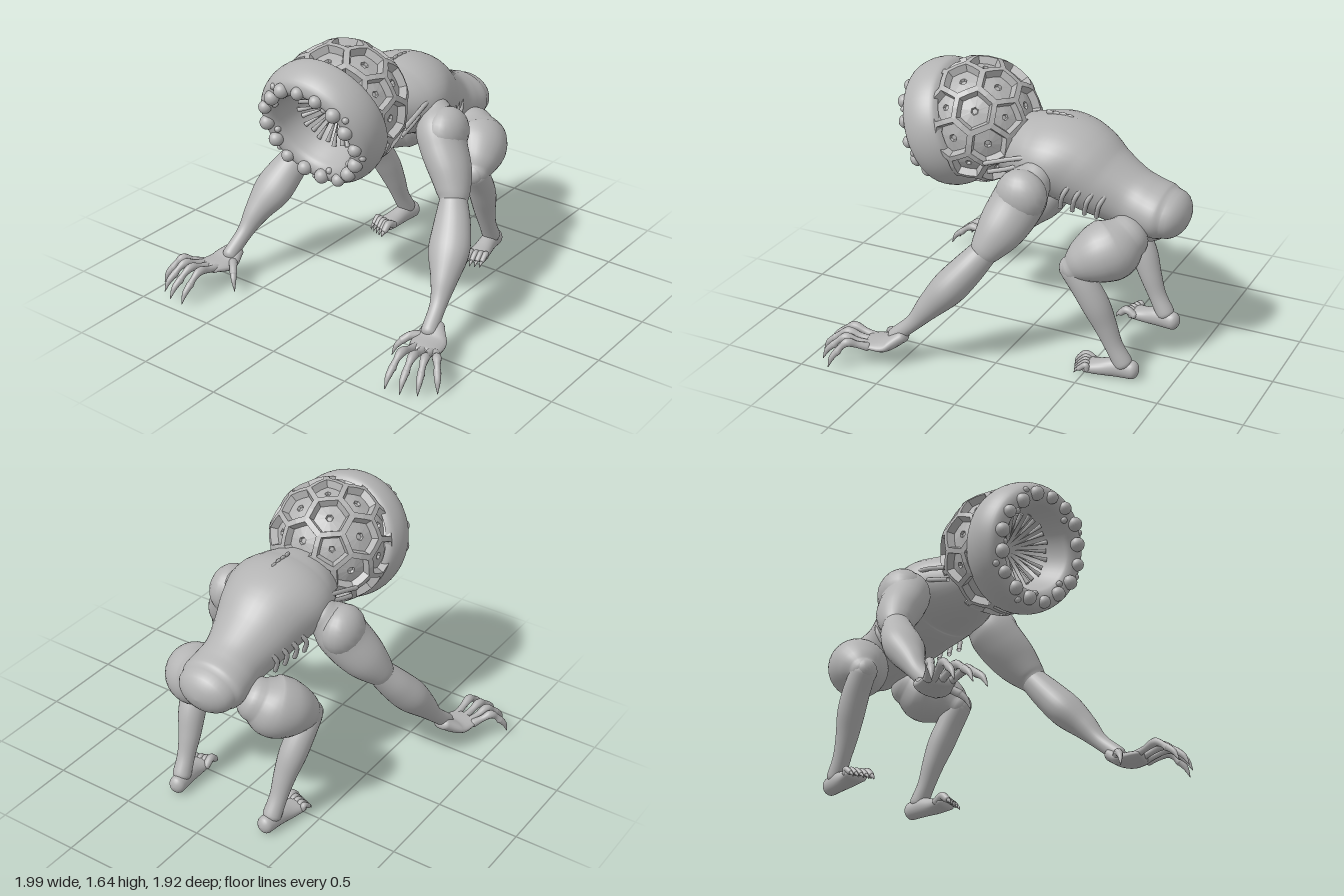
import * as THREE from 'three';

const skin = new THREE.MeshStandardMaterial({ color: 0xb4b4b4, side: THREE.DoubleSide });
skin.name = 'grey skin';

function add(parent, name, geometry) {
  const mesh = new THREE.Mesh(geometry, skin);
  mesh.name = name;
  parent.add(mesh);
  return mesh;
}

// Smooth limb through [x, y, z, halfWidth, halfDepth] sections, with rounded ends
function loft(points, sides = 20, steps = 6) {
  const spline = list => new THREE.CatmullRomCurve3(list, false, 'catmullrom', 0.5);
  const path = spline(points.map(p => new THREE.Vector3(p[0], p[1], p[2])));
  const size = spline(points.map(p => new THREE.Vector3(p[3], p[4] ?? p[3], 0)));
  const n = (points.length - 1) * steps, cap = 6, rings = [];
  for (let k = 0; k < cap; k++) rings.push([0, -Math.cos(k / cap * Math.PI / 2), Math.sin(k / cap * Math.PI / 2)]);
  for (let i = 0; i <= n; i++) rings.push([i / n, 0, 1]);
  for (let k = 1; k <= cap; k++) rings.push([1, Math.sin(k / cap * Math.PI / 2), Math.cos(k / cap * Math.PI / 2)]);
  const pos = [], index = [];
  rings.forEach(([t, push, scale], i) => {
    const tangent = path.getTangent(t), r = size.getPoint(t);
    const side = new THREE.Vector3(1, 0, 0).addScaledVector(tangent, -tangent.x).normalize();
    const other = new THREE.Vector3().crossVectors(tangent, side);
    const centre = path.getPoint(t).addScaledVector(tangent, push * Math.min(r.x, r.y) * 0.8);
    for (let j = 0; j < sides; j++) {
      const a = j / sides * Math.PI * 2, s = Math.max(scale, 0.001);
      const p = centre.clone().addScaledVector(side, Math.cos(a) * r.x * s).addScaledVector(other, Math.sin(a) * r.y * s);
      pos.push(p.x, p.y, p.z);
      if (i < rings.length - 1) {
        const A = i * sides + j, B = i * sides + (j + 1) % sides;
        index.push(A, B, A + sides, B, B + sides, A + sides);
      }
    }
  });
  const g = new THREE.BufferGeometry();
  g.setAttribute('position', new THREE.Float32BufferAttribute(pos, 3));
  g.setIndex(index);
  g.computeVertexNormals();
  return g;
}

function ball(parent, name, x, y, z, rx, ry = rx, rz = rx) {
  const m = add(parent, name, new THREE.SphereGeometry(1, 20, 14));
  m.position.set(x, y, z);
  m.scale.set(rx, ry, rz);
  return m;
}

function cord(parent, name, points, radius) {
  const curve = new THREE.CatmullRomCurve3(points.map(p => new THREE.Vector3(...p)));
  return add(parent, name, new THREE.TubeGeometry(curve, 12, radius, 8));
}

// Dome of five- and six-sided cells with raised rims and sunken panels
function cellDome(radius, limit) {
  const ico = new THREE.IcosahedronGeometry(1, 1).rotateX(-1.476);
  const p = ico.attributes.position, cells = new Map();
  for (let i = 0; i < p.count; i += 3) {
    const tri = [0, 1, 2].map(k => new THREE.Vector3().fromBufferAttribute(p, i + k));
    const mid = tri[0].clone().add(tri[1]).add(tri[2]).normalize();
    for (const v of tri) {
      const key = v.toArray().map(c => Math.round(c * 100)).join();
      if (!cells.has(key)) cells.set(key, { v, corners: [] });
      cells.get(key).corners.push(mid);
    }
  }
  const levels = [[1, 1], [0.85, 1], [0.78, 0.88], [0.2, 0.88], [0.15, 0.84], [0, 0.84]];
  const pos = [];
  for (const { v, corners } of cells.values()) {
    if (v.z > limit) continue;
    const u = corners[0].clone().addScaledVector(v, -corners[0].dot(v)).normalize();
    const w = new THREE.Vector3().crossVectors(v, u);
    const angle = c => Math.atan2(c.dot(w), c.dot(u));
    corners.sort((a, b) => angle(a) - angle(b));
    // Halve each edge so the rim follows the sphere
    const edge = corners.flatMap((c, j) => [c, c.clone().add(corners[(j + 1) % corners.length]).normalize()]);
    const rings = levels.map(([f, r]) => edge.map(c => v.clone().lerp(c, f).normalize().multiplyScalar(r * radius)));
    for (let k = 0; k < rings.length - 1; k++) edge.forEach((_, j) => {
      const j2 = (j + 1) % edge.length, o = rings[k], q = rings[k + 1];
      for (const t of [o[j], o[j2], q[j], o[j2], q[j2], q[j]]) pos.push(t.x, t.y, t.z);
    });
  }
  const g = new THREE.BufferGeometry();
  g.setAttribute('position', new THREE.Float32BufferAttribute(pos, 3));
  g.computeVertexNormals();
  return g;
}

function makeHead() {
  const head = new THREE.Group();
  head.name = 'head';
  head.position.set(0, 1.275, 0.345);
  head.rotation.x = 0.33;
  add(head, 'cellDome', cellDome(0.367, 0.52));

  const mouth = new THREE.Group();
  mouth.name = 'mouth';
  mouth.position.set(0, 0.018, 0);
  head.add(mouth);
  // Fleshy lip that rolls inward to the throat
  const profile = [[0.325, 0.06], [0.358, 0.085], [0.376, 0.15], [0.374, 0.22], [0.348, 0.285], [0.295, 0.308], [0.25, 0.28],
    [0.235, 0.23], [0.22, 0.16], [0.2, 0.06], [0.13, -0.04], [0.001, -0.08]].map(p => new THREE.Vector2(...p));
  add(mouth, 'lip', new THREE.LatheGeometry(new THREE.SplineCurve(profile).getPoints(44), 56).rotateX(Math.PI / 2));

  for (let i = 0; i < 16; i++) {
    const a = i / 16 * Math.PI * 2 + Math.PI / 2;
    const r = i % 3 ? 0.042 : 0.037, rho = 0.3 + 0.008 * Math.sin(i * 2.3);
    ball(mouth, 'lipBump', Math.cos(a) * rho, Math.sin(a) * rho, 0.308, r);
    const b = a + Math.PI / 16, q = i % 2 ? 0.335 : 0.26;
    if (i % 3) ball(mouth, 'smallLipBump', Math.cos(b) * q, Math.sin(b) * q, 0.29, 0.019);
  }
  // Long teeth pointing at the throat
  for (let i = 0; i < 24; i++) {
    const tooth = new THREE.ConeGeometry(0.014, i % 2 ? 0.2 : 0.16, 8).rotateZ(Math.PI / 2).rotateY(-0.6);
    tooth.translate(i % 2 ? 0.117 : 0.135, 0, i % 2 ? 0.085 : 0.11);
    add(mouth, 'tooth', tooth.rotateZ(i / 24 * Math.PI * 2));
  }
  return head;
}

function makeTorso() {
  const torso = new THREE.Group();
  torso.name = 'torso';
  add(torso, 'body', loft([
    [0, 1.17, 0.18, 0.17, 0.15], [0, 1.165, 0.04, 0.24, 0.195], [0, 1.165, -0.08, 0.3, 0.215],
    [0, 1.16, -0.2, 0.315, 0.235], [0, 1.115, -0.32, 0.28, 0.24], [0, 1.045, -0.45, 0.235, 0.21],
    [0, 0.98, -0.6, 0.19, 0.18], [0, 0.945, -0.71, 0.195, 0.165], [0, 0.925, -0.8, 0.2, 0.155],
    [0, 0.918, -0.85, 0.18, 0.138]], 36));
  // Knobs along the spine
  for (let i = 0; i < 10; i++) {
    const z = -0.1 - i * 0.042, d = Math.max(0, -0.2 - z);
    ball(torso, 'spineKnob', 0, 1.393 - 0.2 * d - 1.4 * d * d, z, 0.009, 0.014, 0.024);
  }
  for (const m of [1, -1]) {
    // Ribs down the flank
    for (let i = 0; i < 4; i++) {
      const z = -0.3 - i * 0.065, w = 0.28 - i * 0.02, y = 1.03 - i * 0.015;
      cord(torso, 'rib', [[m * (w - 0.025), y + 0.06, z - 0.04], [m * (w - 0.005), y, z - 0.01],
        [m * (w - 0.04), y - 0.09, z + 0.02]], 0.014);
    }
    // Neck cords reaching the dome
    cord(torso, 'neckCord', [[m * 0.27, 1.22, -0.1], [m * 0.285, 1.19, 0.02], [m * 0.29, 1.14, 0.17]], 0.014);
    cord(torso, 'neckCord', [[m * 0.25, 1.16, -0.06], [m * 0.26, 1.12, 0.04], [m * 0.26, 1.08, 0.16]], 0.014);
  }
  return torso;
}

function makeArm(m) {
  const arm = new THREE.Group();
  arm.name = m > 0 ? 'leftArm' : 'rightArm';
  const limb = (name, pts, sides) => add(arm, name, loft(pts.map(([x, ...r]) => [m * x, ...r]), sides));
  limb('upperArm', [[0.27, 1.12, -0.15, 0.1], [0.335, 1.05, -0.11, 0.135, 0.145], [0.4, 0.95, -0.07, 0.13, 0.15],
    [0.475, 0.85, -0.025, 0.118, 0.135], [0.53, 0.76, 0.025, 0.095, 0.1], [0.55, 0.71, 0.055, 0.075, 0.075]], 28);
  limb('forearm', [[0.545, 0.725, 0.045, 0.08, 0.08], [0.595, 0.615, 0.13, 0.108, 0.095], [0.64, 0.5, 0.225, 0.12, 0.1],
    [0.68, 0.385, 0.325, 0.078, 0.075], [0.705, 0.275, 0.415, 0.048], [0.725, 0.17, 0.53, 0.045]], 28);
  ball(arm, 'deltoid', m * 0.385, 1.04, -0.11, 0.12, 0.15, 0.15);
  limb('palm', [[0.725, 0.18, 0.48, 0.062, 0.04], [0.75, 0.13, 0.56, 0.1, 0.04], [0.785, 0.13, 0.66, 0.09, 0.028]]);
  // Arched fingers: knuckle x, tip x, tip z
  [[0.85, 0.99, 0.825], [0.82, 0.915, 0.905], [0.775, 0.83, 0.95], [0.725, 0.735, 0.955]].forEach(([bx, tx, tz]) => {
    const at = (f, y, r) => [bx + (tx - bx) * f, y, 0.645 + (tz - 0.645) * f, r];
    limb('finger', [at(0, 0.13, 0.026), at(0.25, 0.15, 0.02), at(0.48, 0.17, 0.026), at(0.65, 0.145, 0.018), at(0.76, 0.115, 0.022)], 10);
    limb('claw', [at(0.75, 0.12, 0.021), at(0.9, 0.08, 0.016), at(1, 0.022, 0.002)], 10);
  });
  limb('thumb', [[0.7, 0.13, 0.54, 0.034], [0.65, 0.145, 0.59, 0.024], [0.615, 0.12, 0.63, 0.022]], 10);
  limb('thumbClaw', [[0.615, 0.12, 0.63, 0.02], [0.592, 0.085, 0.655, 0.014], [0.575, 0.03, 0.67, 0.002]], 10);
  return arm;
}

function makeLeg(m) {
  const leg = new THREE.Group();
  leg.name = m > 0 ? 'leftLeg' : 'rightLeg';
  const limb = (name, pts, sides) => add(leg, name, loft(pts.map(([x, ...r]) => [m * x, ...r]), sides));
  limb('thigh', [[0.19, 0.82, -0.67, 0.13], [0.255, 0.775, -0.62, 0.175], [0.312, 0.745, -0.56, 0.17],
    [0.355, 0.7, -0.485, 0.13], [0.38, 0.655, -0.425, 0.08]], 28);
  limb('shin', [[0.38, 0.65, -0.43, 0.075], [0.37, 0.55, -0.5, 0.08], [0.355, 0.44, -0.56, 0.08],
    [0.338, 0.32, -0.61, 0.066], [0.33, 0.2, -0.66, 0.053], [0.323, 0.1, -0.715, 0.055]], 24);
  ball(leg, 'kneecap', m * 0.385, 0.66, -0.4, 0.06, 0.065, 0.05);
  limb('foot', [[0.315, 0.058, -0.77, 0.05, 0.055], [0.325, 0.06, -0.68, 0.052, 0.058], [0.338, 0.048, -0.59, 0.06, 0.046],
    [0.348, 0.045, -0.51, 0.072, 0.034]], 24);
  for (let i = 0; i < 5; i++) {
    const x = 0.29 + i * 0.029, z = -0.425 - i * 0.011, r = i ? 0.017 : 0.023;
    limb('toe', [[x, 0.05, -0.53, r], [x + 0.003, 0.075, z - 0.055, r * 1.05], [x + 0.005, 0.045, z - 0.015, r * 0.9]], 10);
    limb('toeClaw', [[x + 0.005, 0.045, z - 0.015, r * 0.7], [x + 0.006, 0.03, z + 0.005, r * 0.45], [x + 0.006, 0.012, z + 0.015, 0.002]], 8);
  }
  return leg;
}

export function createModel() {
  const model = new THREE.Group();
  model.name = 'creature';
  model.add(makeHead(), makeTorso());
  for (const m of [1, -1]) model.add(makeArm(m), makeLeg(m));
  return model;
}
